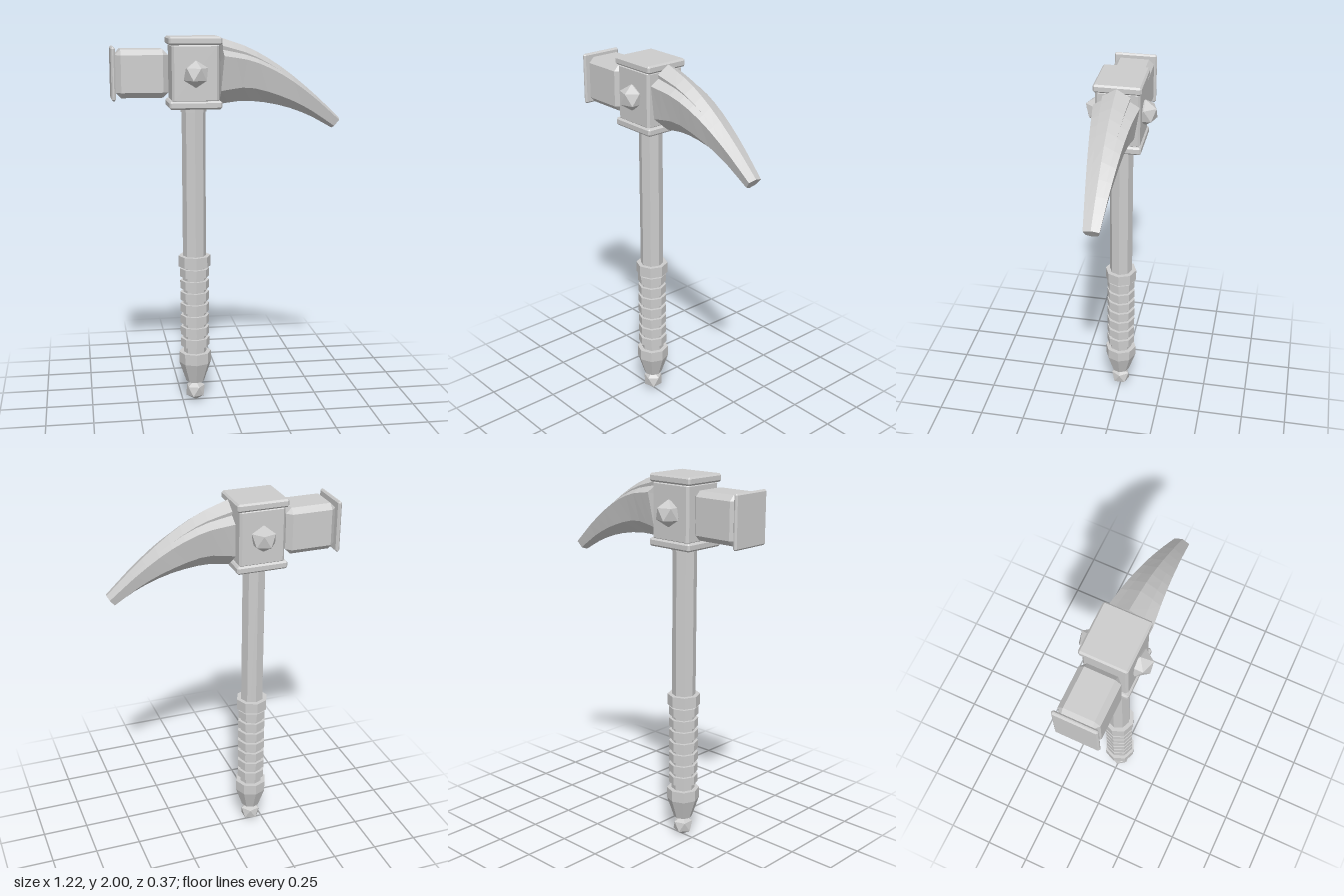
import * as THREE from 'three';
import { ConvexGeometry } from 'three/addons/geometries/ConvexGeometry.js';

const AXIS = -0.18; // x of the handle axis

export function createModel() {
  const model = new THREE.Group();
  model.name = 'warHammer';
  const steel = new THREE.MeshStandardMaterial({ color: 0xcccccc });
  steel.name = 'steel grey';

  function add(name, geometry, x = 0, y = 0, z = 0) {
    const mesh = new THREE.Mesh(geometry, steel);
    mesh.name = name;
    mesh.position.set(x, y, z);
    model.add(mesh);
    return mesh;
  }

  // Box with every edge chamfered by c
  function chamferBox(name, w, h, d, c, x, y, z = 0) {
    const half = [w / 2, h / 2, d / 2];
    const points = [];
    for (const sx of [-1, 1]) for (const sy of [-1, 1]) for (const sz of [-1, 1])
      for (let axis = 0; axis < 3; axis++) {
        const p = [sx, sy, sz].map((s, i) => s * (half[i] - (i === axis ? 0 : c)));
        points.push(new THREE.Vector3(...p));
      }
    return add(name, new ConvexGeometry(points), x, y, z);
  }

  // Flat-sided octagonal section of the handle between two heights
  function octagon(name, y0, y1, r0, r1 = r0) {
    const g = new THREE.CylinderGeometry(r1, r0, y1 - y0, 8).toNonIndexed();
    g.computeVertexNormals();
    return add(name, g, AXIS, (y0 + y1) / 2);
  }

  // Faceted stone standing on a corner
  function gem(name, r, y, z) {
    const g = new THREE.IcosahedronGeometry(r, 0);
    g.rotateZ(-Math.atan(2 / (1 + Math.sqrt(5))));
    return add(name, g, AXIS, y, z);
  }

  // Handle
  octagon('shaft', 0.25, 1.64, 0.063);
  octagon('shaftCollar', 1.607, 1.64, 0.068);
  octagon('gripTopRing', 0.77, 0.83, 0.087);
  for (let i = 0; i < 7; i++) {
    const y = 0.32 + i * 0.0655;
    octagon('gripRing', y, y + 0.046, 0.079);
  }
  octagon('pommelBand', 0.225, 0.285, 0.088);
  octagon('pommelTaper', 0.112, 0.225, 0.05, 0.088);
  gem('pommelGem', 0.058, 0.058, 0);

  // Head block with its two plates and side gems
  chamferBox('headBlock', 0.244, 0.3, 0.23, 0.012, AXIS, 1.812);
  chamferBox('headTopPlate', 0.274, 0.042, 0.246, 0.009, AXIS, 1.977);
  chamferBox('headBottomPlate', 0.274, 0.042, 0.246, 0.009, AXIS, 1.65);
  for (const side of [-1, 1]) gem('sideGem', 0.07, 1.81, side * 0.123);

  // Hammer end
  chamferBox('hammerBlock', 0.27, 0.246, 0.21, 0.028, -0.453, 1.812);
  chamferBox('hammerFace', 0.022, 0.272, 0.23, 0.008, -0.599, 1.812);

  add('pick', pickGeometry());
  return model;
}

// Curved pick: ridged cross-sections swept from the head to the blunt tip
function pickGeometry() {
  const curve = (...p) => new THREE.CatmullRomCurve3(p.map(([x, y]) => new THREE.Vector3(x, y, 0)));
  const ridge = curve([-0.035, 1.99], [0.12, 1.935], [0.28, 1.842], [0.45, 1.708], [0.605, 1.565]);
  const upper = curve([-0.032, 1.9], [0.12, 1.872], [0.28, 1.8], [0.44, 1.69], [0.598, 1.555]);
  const lower = curve([-0.045, 1.72], [0.1, 1.735], [0.27, 1.69], [0.42, 1.622], [0.573, 1.522]);
  const belly = curve([-0.045, 1.645], [0.09, 1.66], [0.27, 1.637], [0.43, 1.583], [0.565, 1.51]);
  const steps = 10;
  const rings = [];

  for (let i = 0; i <= steps; i++) {
    const t = i / steps;
    const top = ridge.getPoint(t);
    const wide = upper.getPoint(t);
    wide.z = THREE.MathUtils.lerp(0.118, 0.04, t);
    const low = lower.getPoint(t);
    low.z = THREE.MathUtils.lerp(0.088, 0.032, t);
    // Raised crest that fades into the body
    const fade = Math.max(0, 1 - t / 0.45);
    const crest = top.clone().lerp(wide, 0.6);
    const under = crest.clone();
    crest.y += 0.014 * fade;
    under.y -= 0.006 * fade;
    under.z -= 0.004 * fade;
    const side = [crest, under, wide, low];
    const mirrored = side.map((p) => new THREE.Vector3(p.x, p.y, -p.z)).reverse();
    rings.push([top, ...side, belly.getPoint(t), ...mirrored]);
  }

  const pos = [];
  const tri = (...points) => points.forEach((p) => pos.push(p.x, p.y, p.z));
  const n = rings[0].length;
  for (let i = 0; i < steps; i++)
    for (let j = 0; j < n; j++) {
      const k = (j + 1) % n;
      const [a, b] = [rings[i], rings[i + 1]];
      tri(a[j], a[k], b[k]);
      tri(a[j], b[k], b[j]);
    }

  // End caps
  const centre = (ring) => ring.reduce((s, p) => s.add(p), new THREE.Vector3()).divideScalar(n);
  const [root, tip] = [rings[0], rings[steps]];
  for (let j = 0; j < n; j++) {
    const k = (j + 1) % n;
    tri(centre(root), root[k], root[j]);
    tri(centre(tip), tip[j], tip[k]);
  }

  const g = new THREE.BufferGeometry();
  g.setAttribute('position', new THREE.Float32BufferAttribute(pos, 3));
  g.computeVertexNormals();
  return g;
}
